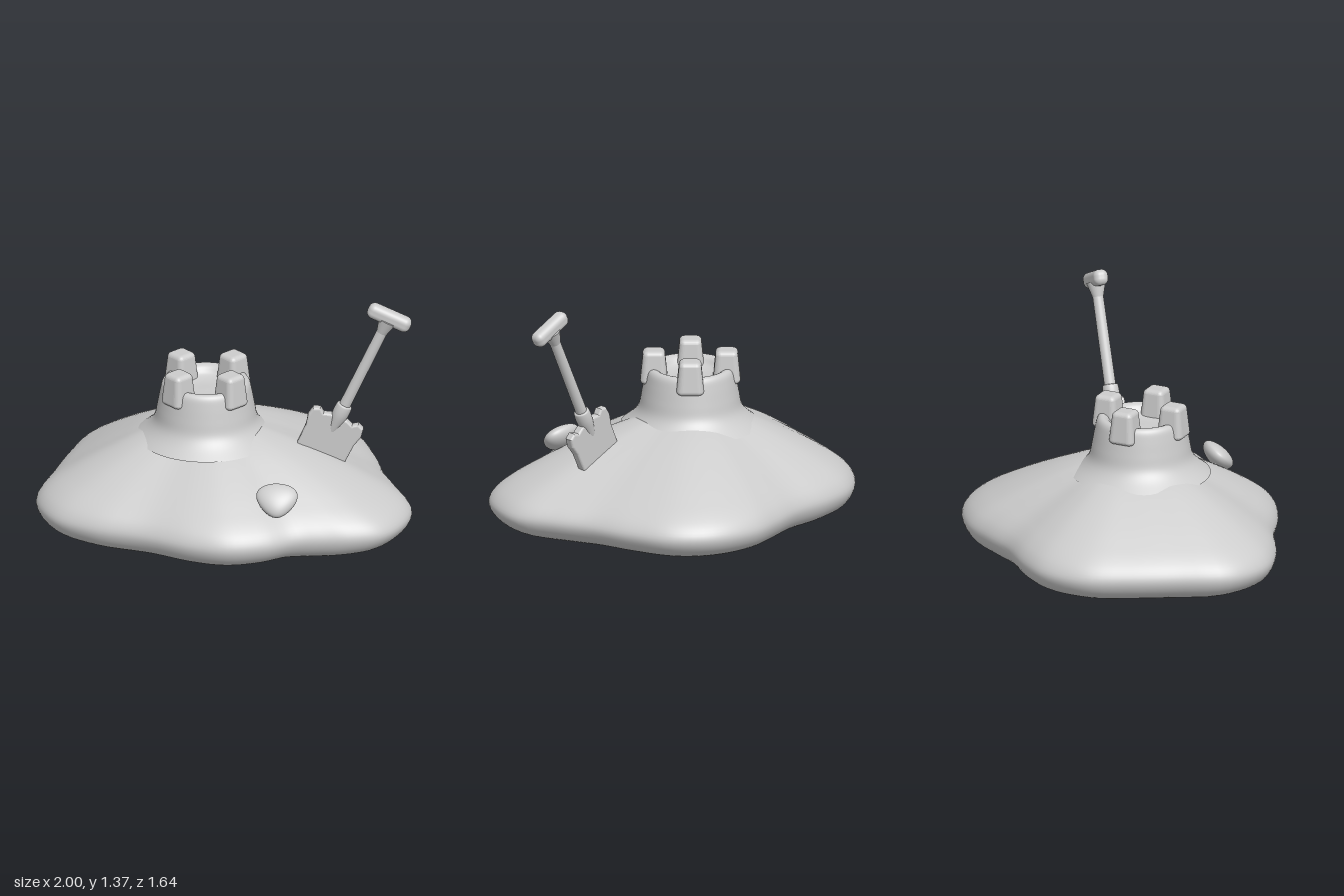
import * as THREE from 'three';
import { mergeVertices } from 'three/addons/utils/BufferGeometryUtils.js';
import { RoundedBoxGeometry } from 'three/addons/geometries/RoundedBoxGeometry.js';

const sand = new THREE.MeshStandardMaterial({ color: 0xcccccc });
sand.name = 'pale grey';

function add(parent, name, geometry) {
  const mesh = new THREE.Mesh(geometry, sand);
  mesh.name = name;
  parent.add(mesh);
  return mesh;
}

// Smooth profile curve from [radius, height] pairs
function smoothProfile(pairs, count) {
  const points = new THREE.SplineCurve(pairs.map(([x, y]) => new THREE.Vector2(x, y))).getPoints(count);
  points.forEach((p) => { p.x = Math.max(p.x, 0); });
  return points;
}

// Weld the seam and shade smoothly
function weld(geometry) {
  geometry.deleteAttribute('uv');
  geometry.deleteAttribute('normal');
  const welded = mergeVertices(geometry, 1e-4);
  welded.computeVertexNormals();
  return welded;
}

// Mound: one profile swept around a wavy outline
function moundGeometry() {
  const outline = new THREE.CatmullRomCurve3([
    [0.05, 0.82], [0.25, 0.77], [0.4, 0.685], [0.55, 0.66], [0.7, 0.64], [0.85, 0.58], [0.95, 0.45],
    [1, 0.25], [0.92, 0.03], [0.84, -0.16], [0.78, -0.38], [0.68, -0.62], [0.5, -0.77], [0.25, -0.825],
    [0.05, -0.79], [-0.15, -0.745], [-0.4, -0.74], [-0.6, -0.69], [-0.78, -0.53], [-0.87, -0.3],
    [-0.94, -0.05], [-1, 0.22], [-0.9, 0.45], [-0.7, 0.58], [-0.4, 0.67], [-0.15, 0.78],
  ].map(([x, z]) => new THREE.Vector3(x, 0, z)), true);
  const profile = smoothProfile([
    [0, 0], [0.3, 0.012], [0.55, 0.038], [0.75, 0.065], [0.9, 0.11], [0.97, 0.155], [1, 0.22],
    [0.97, 0.28], [0.9, 0.335], [0.8, 0.39], [0.7, 0.44], [0.58, 0.495], [0.45, 0.55],
    [0.32, 0.595], [0.2, 0.625], [0, 0.64],
  ], 60);
  const segments = 120;
  const geometry = new THREE.LatheGeometry(profile, segments);
  const position = geometry.attributes.position;
  const cx = -0.1;
  for (let i = 0; i <= segments; i++) {
    const edge = outline.getPoint((i % segments) / segments);
    profile.forEach((p, j) => {
      position.setXYZ(i * profile.length + j, cx + p.x * (edge.x - cx), p.y, p.x * edge.z);
    });
  }
  return weld(geometry);
}

// Castle: hollow-topped tower with four corner blocks
function castle() {
  const group = new THREE.Group();
  group.name = 'castle';
  group.position.set(-0.107, 0, 0.025);
  const wall = smoothProfile([
    [0.37, 0.55], [0.31, 0.6], [0.275, 0.65], [0.26, 0.72], [0.245, 0.8], [0.232, 0.85],
    [0.21, 0.868], [0.18, 0.858], [0.15, 0.825], [0.09, 0.81], [0, 0.81],
  ], 50);
  add(group, 'tower', weld(new THREE.LatheGeometry(wall, 64)));

  const block = new RoundedBoxGeometry(0.12, 0.18, 0.12, 4, 0.028);
  const position = block.attributes.position;
  for (let i = 0; i < position.count; i++) {
    const flare = 1 + 0.3 * Math.max(0, -position.getY(i) / 0.09);
    position.setX(i, position.getX(i) * flare);
    position.setZ(i, position.getZ(i) * flare);
  }
  block.computeVertexNormals();
  for (const x of [-1, 1]) for (const z of [-1, 1]) {
    const merlon = add(group, 'merlon', block);
    merlon.position.set(x * 0.138, 0.87, z * 0.135);
    merlon.rotation.y = Math.PI / 4;
  }
  return group;
}

// Shovel: built upright with its socket at the origin, then leaned over
function shovel() {
  const group = new THREE.Group();
  group.name = 'shovel';
  group.position.set(0.622, 0.745, 0.105);
  group.rotation.z = -0.43;

  const handle = add(group, 'handle', new THREE.CylinderGeometry(0.029, 0.031, 0.56, 24));
  handle.position.y = 0.27;

  const gripNeck = add(group, 'gripNeck', new THREE.CylinderGeometry(0.052, 0.029, 0.08, 24));
  gripNeck.position.y = 0.54;
  const grip = add(group, 'grip', new RoundedBoxGeometry(0.245, 0.085, 0.08, 5, 0.034));
  grip.position.y = 0.597;

  const socket = add(group, 'socket', new THREE.LatheGeometry(smoothProfile([
    [0, -0.18], [0.018, -0.16], [0.034, -0.09], [0.044, -0.03], [0.043, 0.02], [0.034, 0.032], [0, 0.034],
  ], 30), 24));
  socket.position.y = 0;

  // Half outline mirrored to make the blade
  const half = [[0.045, -0.055], [0.085, -0.07], [0.112, -0.05], [0.136, -0.06], [0.142, -0.1], [0.128, -0.16], [0.125, -0.3]];
  const shape = new THREE.Shape([
    ...half, ...half.slice().reverse().map(([x, y]) => [-x, y]),
  ].map(([x, y]) => new THREE.Vector2(x, y)));
  const blade = new THREE.ExtrudeGeometry(shape, {
    depth: 0.026, bevelEnabled: true, bevelThickness: 0.012, bevelSize: 0.012, bevelSegments: 4,
  });
  add(group, 'blade', blade).position.z = -0.013;
  return group;
}

// Pebble: flattened ball, wide at the top and narrow at the bottom
function pebbleGeometry() {
  const geometry = new THREE.SphereGeometry(1, 40, 28);
  const position = geometry.attributes.position;
  for (let i = 0; i < position.count; i++) {
    const x = position.getX(i), y = position.getY(i), z = position.getZ(i);
    position.setXYZ(i, x * 0.105 * (1 + 0.32 * y), y * 0.095, z * (z < 0 ? 0.06 : 0.045));
  }
  return weld(geometry);
}

export function createModel() {
  const model = new THREE.Group();
  model.name = 'sandIsland';
  add(model, 'mound', moundGeometry());
  model.add(castle(), shovel());
  const pebble = add(model, 'pebble', pebbleGeometry());
  pebble.position.set(0.3, 0.432, 0.602);
  pebble.rotation.x = -0.78;
  return model;
}
